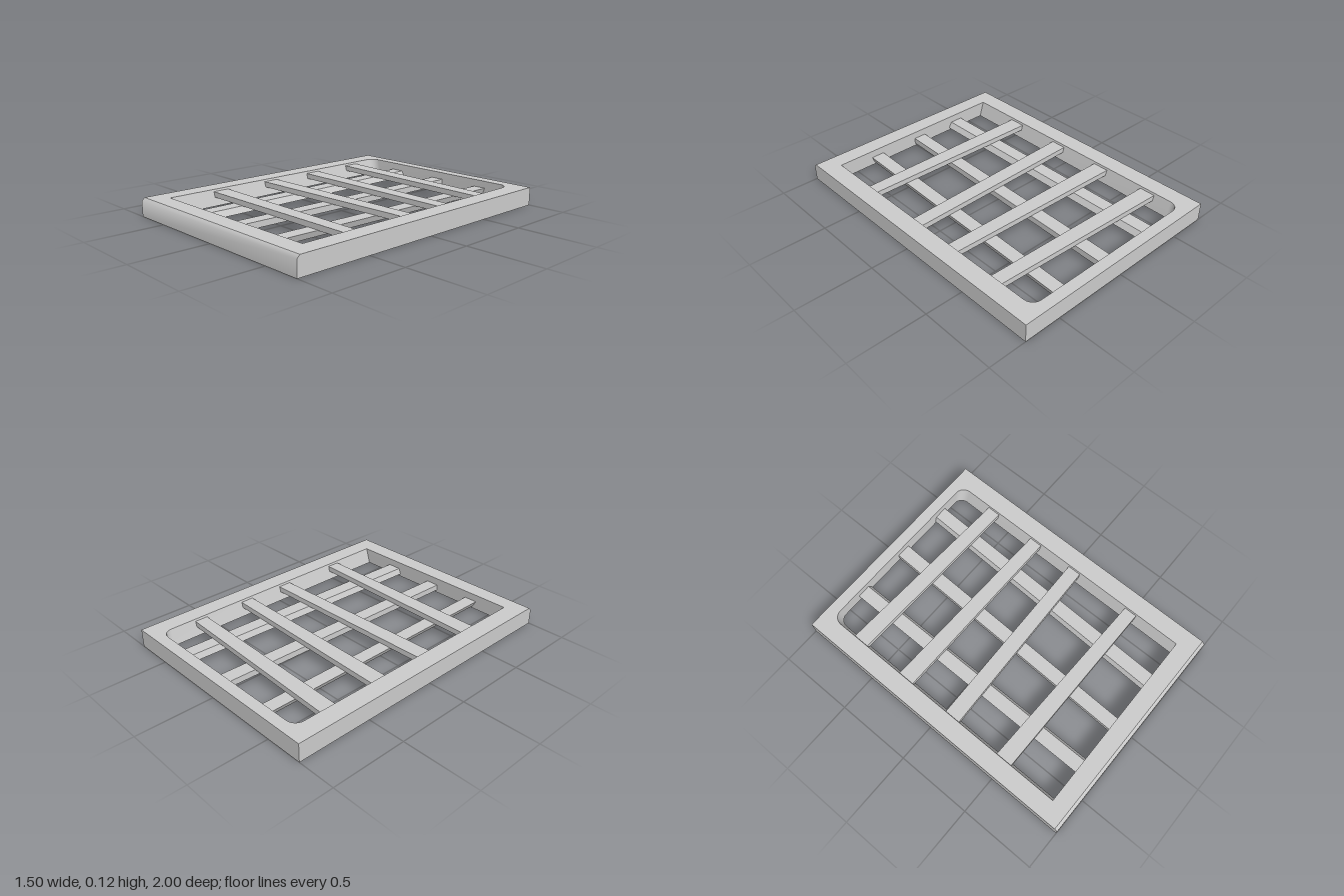
import * as THREE from 'three';
import { toCreasedNormals } from 'three/addons/utils/BufferGeometryUtils.js';

const TOP = 0.12;
const material = new THREE.MeshStandardMaterial({ color: 0xcccccc, side: THREE.DoubleSide });

// Skin a surface between successive rows of [x, y, z] points
function loft(name, rows, closed = false) {
  const n = rows[0].length;
  const index = [];
  for (let r = 0; r < rows.length - 1; r++) {
    for (let i = 0; i < (closed ? n : n - 1); i++) {
      const j = (i + 1) % n;
      const a = r * n + i, b = r * n + j, c = a + n, d = b + n;
      index.push(a, c, b, b, c, d);
    }
  }
  const geo = new THREE.BufferGeometry();
  geo.setAttribute('position', new THREE.Float32BufferAttribute(rows.flat(2), 3));
  geo.setIndex(index);
  const mesh = new THREE.Mesh(toCreasedNormals(geo, Math.PI / 3), material);
  mesh.name = name;
  return mesh;
}

// Opening outline as [x, z]: square at the front, rounded at the back
function opening(half, back, front, radius) {
  const pts = [[-half, front], [half, front - 0.008]];
  for (const [side, start] of [[1, 0], [-1, Math.PI / 2]]) {
    for (let i = 0; i <= 6; i++) {
      const t = start + (i / 6) * Math.PI / 2;
      pts.push([side * (half - radius) + radius * Math.cos(t), back + radius - radius * Math.sin(t)]);
    }
  }
  return pts;
}

// Open-bottomed channel between two ends; each end gives the two top edges and its skew
function channel(name, start, end, y, depth, skew, alongX) {
  const section = ([pos, lo, hi]) =>
    [[lo + skew, y - depth], [lo, y], [hi, y], [hi + skew, y - depth]]
      .map(([c, h]) => (alongX ? [pos, h, c] : [c, h, pos]));
  const rows = [section(start), section(end)];
  return loft(name, alongX ? rows : rows.reverse());
}

export function createModel() {
  const model = new THREE.Group();
  const upper = opening(0.63, -0.925, 0.87, 0.065);
  const lower = opening(0.6, -0.925, 0.872, 0.06);

  // Top plate with the opening
  const plate = new THREE.Shape([[-0.75, -0.98], [0.75, -0.98], [0.75, 1], [-0.75, 1]]
    .map(([x, y]) => new THREE.Vector2(x, y)));
  plate.holes.push(new THREE.Path(upper.map(([x, z]) => new THREE.Vector2(x, -z))));
  const top = new THREE.Mesh(new THREE.ShapeGeometry(plate).rotateX(-Math.PI / 2).translate(0, TOP, 0), material);
  top.name = 'topPlate';
  model.add(top);

  // Front rim with a softened upper edge
  model.add(loft('frontRim', [[TOP, 0.98], [0.1, 1], [0, 1]]
    .map(([y, z]) => [[-0.75, y, z], [0.75, y, z]])));

  // Side and back rims, following the same edge profile
  for (const side of [-1, 1]) {
    const profile = new THREE.Shape([[-1, 0], [1, 0], [1, 0.1], [0.98, TOP], [-1, TOP]]
      .map(([z, y]) => new THREE.Vector2(-side * z, y)));
    const rim = new THREE.Mesh(
      new THREE.ShapeGeometry(profile).rotateY(side * Math.PI / 2).translate(side * 0.75, 0, 0), material);
    rim.name = side > 0 ? 'leftRim' : 'rightRim';
    model.add(rim);
  }
  model.add(loft('backRim', [TOP, 0].map((y) => [[0.75, y, -1], [-0.75, y, -1]])));

  // Tapered wall around the opening
  model.add(loft('openingWall', [
    lower.map(([x, z]) => [x, 0.015, z]),
    upper.map(([x, z]) => [x, TOP, z]),
  ], true));

  // Long bars: edges at the back, edges at the front, sideways lean
  const bars = [
    [-0.405, -0.315, -0.405, -0.315, 0.022],
    [-0.022, 0.072, -0.067, 0.022, 0],
    [0.355, 0.443, 0.295, 0.388, -0.015],
  ];
  for (const [b0, b1, f0, f1, lean] of bars) {
    model.add(channel('longBar', [-0.925, b0, b1], [0.87, f0, f1], 0.072, 0.04, lean, false));
  }

  // Cross slats resting on the bars: edges at the right end, edges at the left end
  const slats = [
    [-0.74, -0.632, -0.685, -0.597],
    [-0.355, -0.245, -0.32, -0.232],
    [0.03, 0.136, 0.004, 0.095],
    [0.438, 0.55, 0.465, 0.552],
  ];
  for (const [r0, r1, l0, l1] of slats) {
    model.add(channel('crossSlat', [-0.63, r0, r1], [0.63, l0, l1], 0.106, 0.036, 0, true));
  }
  return model;
}
